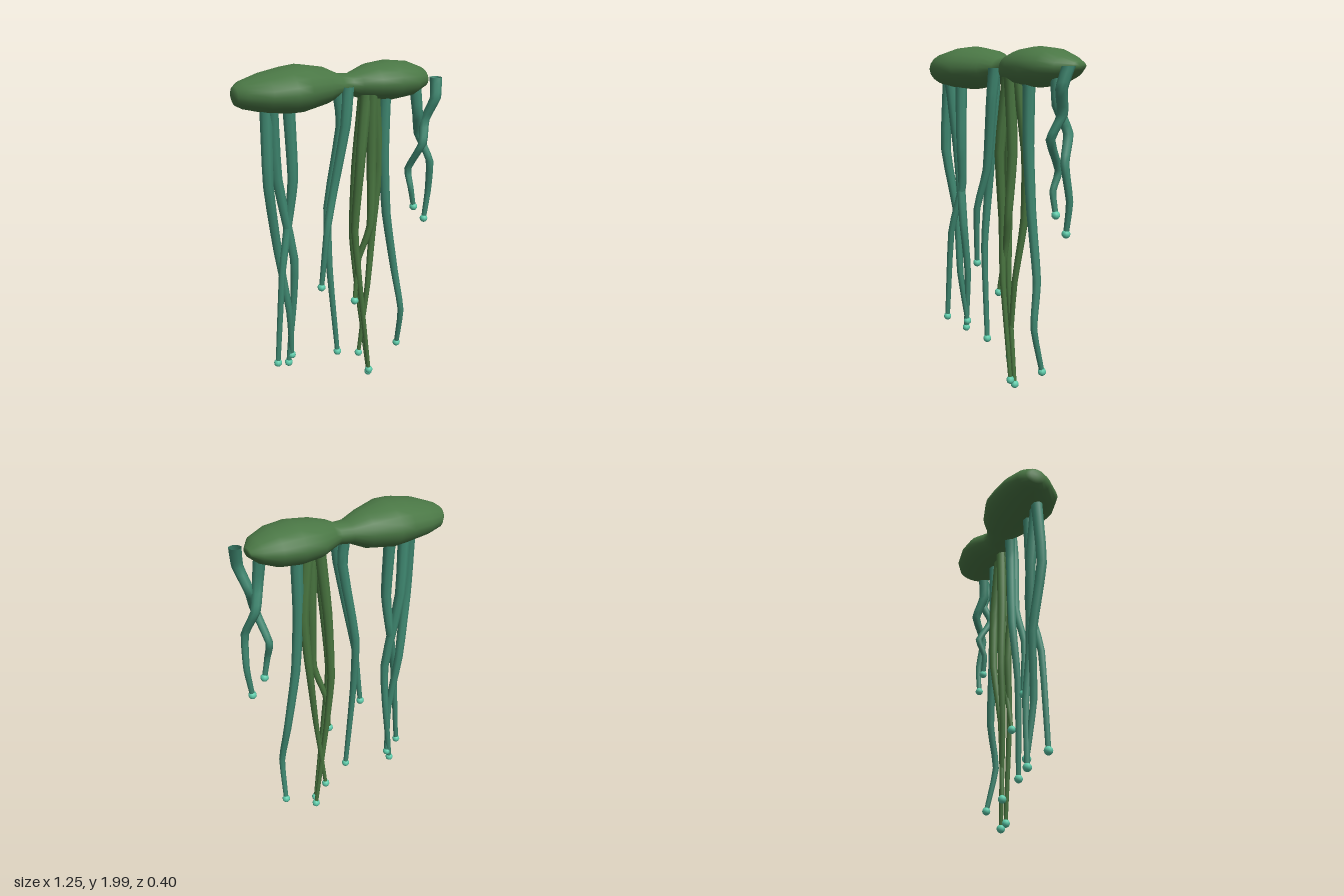
import * as THREE from 'three';
import { mergeVertices } from 'three/addons/utils/BufferGeometryUtils.js';

const mat = (name, color, side = THREE.FrontSide) => new THREE.MeshStandardMaterial({ name, color, side });

// Body stations along x: [x, bottom y, top y, back z, front z]
const STATIONS = [
  [-0.63, 1.835, 1.895, -0.055, 0.01], [-0.62, 1.812, 1.912, -0.08, 0.04],
  [-0.585, 1.792, 1.935, -0.12, 0.085], [-0.48, 1.768, 1.97, -0.168, 0.175],
  [-0.35, 1.753, 1.993, -0.192, 0.198], [-0.26, 1.75, 2.0, -0.202, 0.178],
  [-0.11, 1.772, 1.973, -0.167, 0.107], [-0.02, 1.81, 1.932, -0.115, 0.07],
  [0.045, 1.812, 1.928, -0.09, 0.06], [0.085, 1.795, 1.945, -0.107, 0.1],
  [0.18, 1.775, 1.972, -0.17, 0.143], [0.3, 1.764, 1.984, -0.188, 0.157],
  [0.42, 1.775, 1.97, -0.176, 0.14], [0.51, 1.81, 1.935, -0.135, 0.09],
  [0.563, 1.855, 1.90, -0.095, 0.0],
];

// Tendril paths from top to tip: [x, y, z]
const TEAL_PATHS = [
  [[-0.475, 1.8, 0.04], [-0.485, 1.38, 0.06], [-0.425, 0.97, 0.02], [-0.375, 0.6, 0.04], [-0.35, 0.28, 0.005]],
  [[-0.445, 1.8, 0.05], [-0.415, 1.4, 0.02], [-0.335, 0.92, 0.04], [-0.335, 0.6, 0.01], [-0.37, 0.23, 0.0]],
  [[-0.345, 1.8, 0.04], [-0.335, 1.4, 0.05], [-0.36, 1.15, 0.03], [-0.425, 0.86, 0.07], [-0.472, 0.295, 0.075]],
  [[0.0, 1.87, 0.06], [-0.02, 1.66, 0.07], [-0.085, 1.29, 0.05], [-0.145, 1.05, 0.08], [-0.172, 0.71, 0.06]],
  [[-0.045, 1.86, 0.03], [-0.03, 1.66, 0.04], [-0.108, 1.18, 0.02], [-0.113, 0.81, 0.05], [-0.07, 0.255, 0.065]],
  [[0.257, 1.8, 0.03], [0.257, 1.45, 0.03], [0.285, 1.08, 0.03], [0.347, 0.7, 0.04], [0.374, 0.44, 0.085], [0.385, 0.175, 0.03]],
  [[0.465, 1.85, 0.02], [0.485, 1.67, 0.03], [0.525, 1.53, -0.01], [0.568, 1.38, 0.055], [0.583, 1.18, 0.03], [0.56, 1.005, 0.03]],
  [[0.585, 1.875, 0.055], [0.567, 1.76, 0.085], [0.53, 1.63, 0.04], [0.49, 1.5, 0.085], [0.457, 1.33, -0.01], [0.455, 1.22, 0.03], [0.48, 1.095, 0.03]],
];
const GREEN_PATHS = [
  [[0.115, 1.82, 0.06], [0.068, 1.4, 0.08], [0.056, 1.02, 0.05], [0.085, 0.65, 0.07], [0.155, 0.06, 0.07]],
  [[0.145, 1.82, 0.07], [0.157, 1.4, 0.06], [0.145, 1.05, 0.08], [0.085, 0.84, 0.05], [0.047, 0.575, 0.07]],
  [[0.18, 1.82, 0.04], [0.228, 1.4, 0.02], [0.203, 1.02, 0.01], [0.155, 0.65, 0.04], [0.1, 0.18, 0.03]],
  [[0.12, 1.82, 0.03], [0.078, 1.4, 0.02], [0.064, 0.98, 0.01], [0.09, 0.62, 0.03], [0.165, 0.03, 0.045]],
];

// Two-lobed body: a closed cylinder laid along x, each ring fitted to its station
function bodyGeometry() {
  const n = STATIONS.length - 1;
  const g = new THREE.CylinderGeometry(1, 1, 1, 20, n);
  g.deleteAttribute('uv');
  g.deleteAttribute('normal');
  const p = g.attributes.position;
  for (let i = 0; i < p.count; i++) {
    const [x, y0, y1, z0, z1] = STATIONS[Math.round((p.getY(i) + 0.5) * n)];
    const across = p.getX(i), depth = p.getZ(i);
    p.setXYZ(i, x, (y0 + y1) / 2 - across * (y1 - y0) / 2, (z0 + z1) / 2 + depth * (z1 - z0) / 2);
  }
  const merged = mergeVertices(g, 1e-4);
  merged.computeVertexNormals();
  return merged;
}

// Tapered open tendril: a cylinder whose rings follow a path
function tendrilGeometry(points, rTop, rTip) {
  const curve = new THREE.CatmullRomCurve3(points.map(a => new THREE.Vector3(...a)), false, 'catmullrom', 0.25);
  const g = new THREE.CylinderGeometry(rTop, rTip, 1, 8, (points.length - 1) * 3, true);
  g.deleteAttribute('uv');
  g.deleteAttribute('normal');
  const p = g.attributes.position, c = new THREE.Vector3();
  for (let i = 0; i < p.count; i++) {
    curve.getPoint(THREE.MathUtils.clamp(0.5 - p.getY(i), 0, 1), c);
    p.setXYZ(i, p.getX(i) + c.x, c.y, p.getZ(i) + c.z);
  }
  const merged = mergeVertices(g, 1e-5);
  merged.computeVertexNormals();
  return merged;
}

export function createModel() {
  const model = new THREE.Group();
  model.name = 'hangingTendrilCreature';
  const bodyGreen = mat('bodyGreen', 0x4a7745);
  const vineGreen = mat('vineGreen', 0x48743f, THREE.DoubleSide);
  const teal = mat('teal', 0x3e866f, THREE.DoubleSide);
  const tipMint = mat('tipMint', 0x5ecbaa);

  const add = (name, geometry, material, parent = model) => {
    const mesh = new THREE.Mesh(geometry, material);
    mesh.name = name;
    parent.add(mesh);
    return mesh;
  };

  add('body', bodyGeometry(), bodyGreen);

  // Tendrils, each ending in a small bead
  const bead = new THREE.SphereGeometry(0.024, 10, 8);
  const addTendrils = (name, paths, material, rTop, rTip) => paths.forEach((path, i) => {
    const tendril = new THREE.Group();
    tendril.name = `${name}${i + 1}`;
    add('strand', tendrilGeometry(path, rTop, rTip), material, tendril);
    add('tipBead', bead, tipMint, tendril).position.set(...path[path.length - 1]);
    model.add(tendril);
  });
  addTendrils('tealTendril', TEAL_PATHS, teal, 0.036, 0.015);
  addTendrils('greenTendril', GREEN_PATHS, vineGreen, 0.034, 0.012);

  return model;
}
